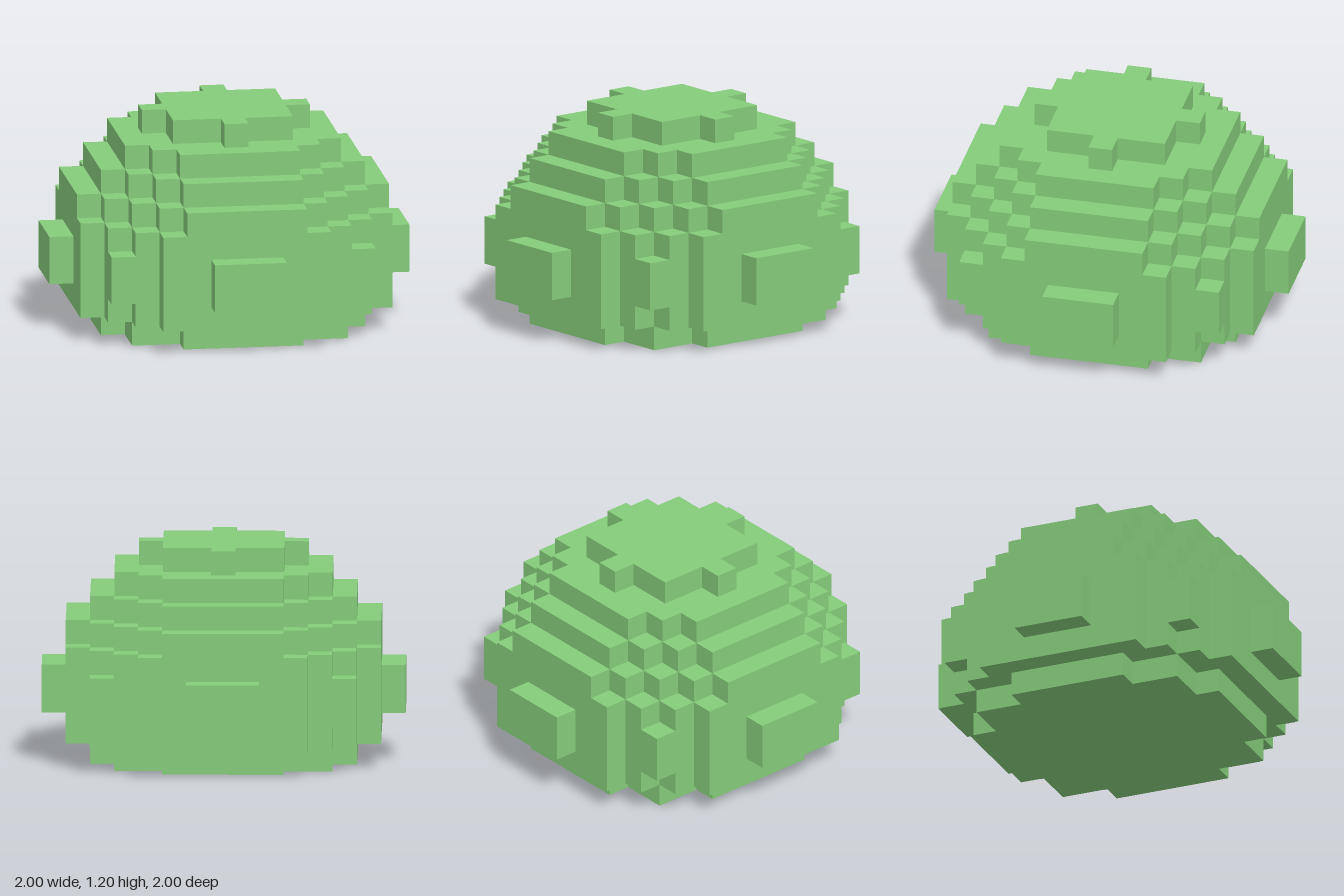
import * as THREE from 'three';

const CELL = 2 / 15; // size of one block

// Each layer: bottom row, height in rows, and the outer corner cells [x, z]
// of one quadrant, from the side bump round to the front bump.
const LAYERS = [
  { name: 'base', row: 0, rows: 1, corners: [[5, 2], [4, 4], [2, 5]] },
  { name: 'lowerBody', row: 1, rows: 1, corners: [[6, 3], [5, 4], [4, 5], [3, 6]] },
  { name: 'widestBody', row: 2, rows: 2, corners: [[7, 1], [6, 3], [5, 5], [3, 6], [1, 7]] },
  { name: 'upperBody', row: 4, rows: 1, corners: [[6, 3], [5, 4], [4, 5], [3, 6]] },
  { name: 'shoulder', row: 5, rows: 1, corners: [[6, 2], [5, 3], [4, 4], [3, 5], [2, 6]] },
  { name: 'lowerDome', row: 6, rows: 1, corners: [[5, 2], [4, 3], [3, 4], [2, 5]] },
  { name: 'upperDome', row: 7, rows: 1, corners: [[4, 2], [3, 3], [2, 4]] },
  { name: 'crown', row: 8, rows: 1, corners: [[3, 0], [2, 2], [0, 3]] },
];

// Stepped outline: one quadrant turned four times about the centre
function steppedOutline(corners) {
  const quadrant = [];
  corners.forEach(([x, z], i) => {
    if (i > 0) quadrant.push([x, corners[i - 1][1]]);
    quadrant.push([x, z]);
  });
  let turn = quadrant.map(([x, z]) => [(x + 0.5) * CELL, (z + 0.5) * CELL]);
  const points = [];
  for (let q = 0; q < 4; q++) {
    points.push(...turn.map(([x, z]) => new THREE.Vector2(x, z)));
    turn = turn.map(([x, z]) => [-z, x]);
  }
  return new THREE.Shape(points);
}

export function createModel() {
  const group = new THREE.Group();
  group.name = 'blockyDome';
  const material = new THREE.MeshStandardMaterial({ color: 0x85cb7a, flatShading: true });

  // Stack the layers from the ground up
  for (const { name, row, rows, corners } of LAYERS) {
    const geometry = new THREE.ExtrudeGeometry(steppedOutline(corners), {
      depth: rows * CELL,
      bevelEnabled: false,
    });
    geometry.rotateX(-Math.PI / 2);
    const layer = new THREE.Mesh(geometry, material);
    layer.name = name;
    layer.position.y = row * CELL;
    group.add(layer);
  }
  return group;
}
